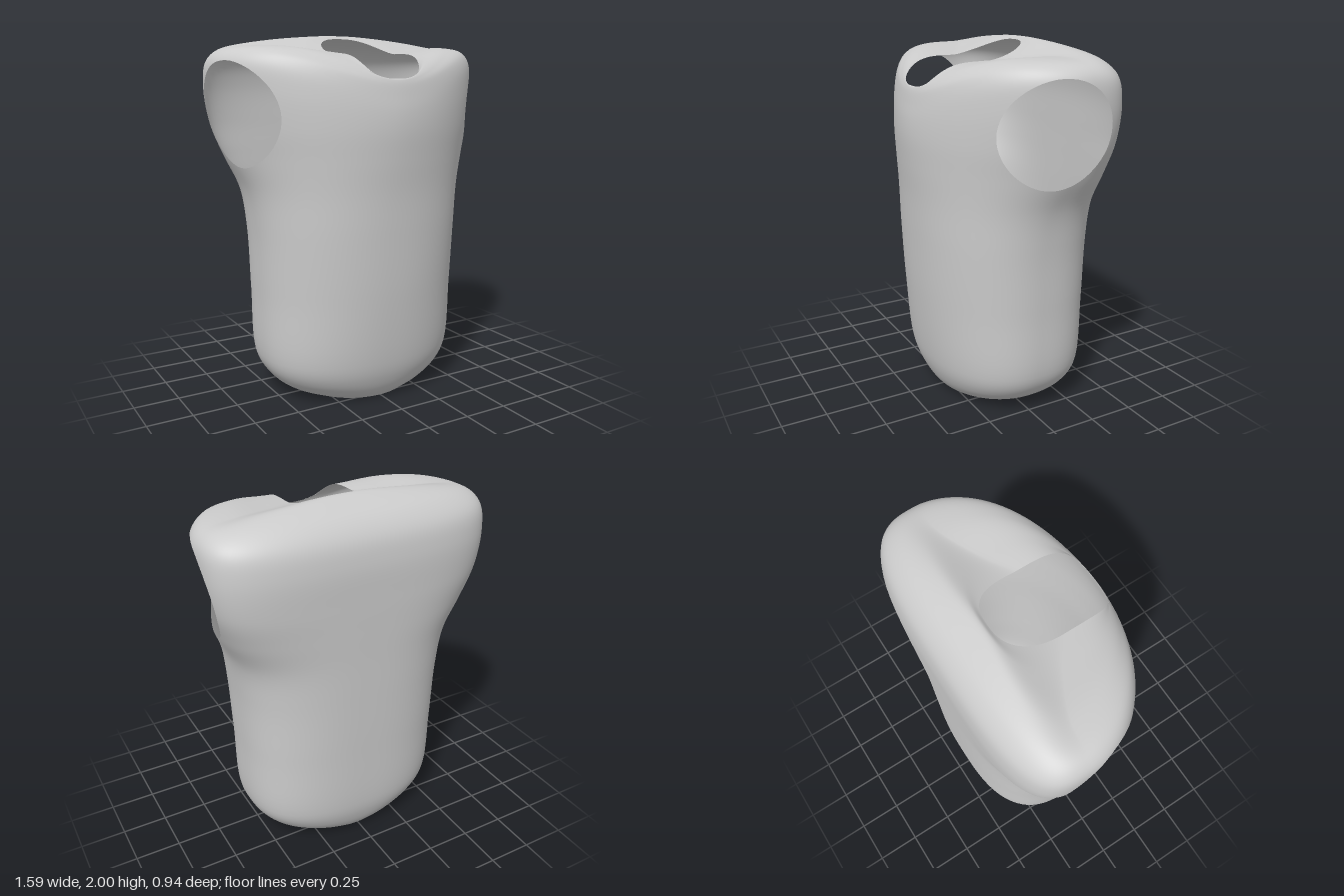
import * as THREE from 'three';

// Control rings from waist to neck:
// [yFront, ySide, yBack, halfWidth, zFront, zBack, zCentre, frontRoundness, backRoundness]
const RINGS = [
  [0, 0, 0, 0.33, 0.28, -0.35, -0.035, 2, 2],
  [0.05, 0.05, 0.05, 0.44, 0.325, -0.39, -0.03, 2.1, 2.2],
  [0.12, 0.12, 0.12, 0.52, 0.36, -0.42, -0.02, 2.2, 2.5],
  [0.22, 0.22, 0.22, 0.57, 0.388, -0.442, -0.02, 2.25, 2.7],
  [0.6, 0.6, 0.6, 0.587, 0.427, -0.455, -0.02, 2.2, 2.75],
  [0.95, 0.95, 0.95, 0.603, 0.444, -0.46, -0.02, 2.2, 2.75],
  [1.17, 1.17, 1.17, 0.635, 0.453, -0.462, -0.04, 2.1, 2.8],
  [1.35, 1.35, 1.35, 0.707, 0.467, -0.465, -0.1, 1.97, 3],
  [1.5, 1.52, 1.52, 0.767, 0.475, -0.467, -0.12, 1.88, 3.4],
  [1.6, 1.72, 1.72, 0.797, 0.47, -0.464, -0.12, 1.83, 3.5],
  [1.68, 1.855, 1.84, 0.785, 0.457, -0.437, -0.12, 1.83, 3.4],
  [1.73, 1.91, 1.925, 0.73, 0.447, -0.37, -0.12, 1.85, 3],
  [1.75, 1.934, 1.983, 0.57, 0.441, -0.26, -0.11, 1.95, 2.7],
  [1.76, 1.912, 1.997, 0.34, 0.436, -0.205, 0, 2.3, 2.5],
  [1.765, 1.893, 1.98, 0.195, 0.43, -0.18, 0.1, 4, 2.6],
];
const COLS = 112, ROWS = 96;

// Point on a control ring: a superellipse with its own front and back halves
function ringPoint([yF, yS, yB, w, zF, zB, c, nF, nB], angle) {
  const cos = Math.cos(angle), sin = Math.sin(angle);
  const front = sin >= 0, n = front ? nF : nB;
  const r = (Math.abs(cos) ** n + Math.abs(sin) ** n) ** (-1 / n);
  const s = Math.abs(sin) * r;
  const y = front ? yS + (yF - yS) * s ** 3.8 : yS + (yB - yS) * s ** 1.5;
  return new THREE.Vector3(w * r * cos, y, c + s * (front ? zF - c : zB - c));
}

// Signed value that is negative inside an armhole
function armhole(p) {
  if (Math.abs(p.x) < 0.4) return 1;
  return Math.hypot((p.z + 0.005) / 0.265, (p.y - 1.58) / 0.276) - 1;
}

// Closed-loop skin lofted through the rings
function loftSkin() {
  const pos = [], index = [];
  for (let j = 0; j < COLS; j++) {
    const angle = (j / COLS) * Math.PI * 2;
    const curve = new THREE.CatmullRomCurve3(RINGS.map((ring) => ringPoint(ring, angle)));
    const next = (j + 1) % COLS;
    for (let i = 0; i <= ROWS; i++) {
      const p = curve.getPoint(i / ROWS);
      pos.push(p.x, p.y, p.z);
      if (i === ROWS) continue;
      const a = j * (ROWS + 1) + i, b = next * (ROWS + 1) + i;
      index.push(a, a + 1, b, b, a + 1, b + 1);
    }
  }
  const geo = new THREE.BufferGeometry();
  geo.setAttribute('position', new THREE.Float32BufferAttribute(pos, 3));
  geo.setIndex(index);
  geo.computeVertexNormals();
  return geo;
}

// Trim every triangle along the armhole edge, keeping the smooth normals
function cutArmholes(geo) {
  const { position, normal } = geo.attributes;
  const verts = [];
  for (let i = 0; i < position.count; i++) {
    const p = new THREE.Vector3().fromBufferAttribute(position, i);
    verts.push({ p, n: new THREE.Vector3().fromBufferAttribute(normal, i), d: armhole(p) });
  }
  const pos = [], nor = [];
  const idx = geo.index.array;
  for (let t = 0; t < idx.length; t += 3) {
    const poly = [];
    for (let k = 0; k < 3; k++) {
      const a = verts[idx[t + k]], b = verts[idx[t + ((k + 1) % 3)]];
      if (a.d >= 0) poly.push(a);
      if ((a.d >= 0) !== (b.d >= 0)) {
        const f = a.d / (a.d - b.d);
        poly.push({ p: a.p.clone().lerp(b.p, f), n: a.n.clone().lerp(b.n, f).normalize() });
      }
    }
    for (let k = 1; k + 1 < poly.length; k++) {
      for (const v of [poly[0], poly[k], poly[k + 1]]) {
        pos.push(v.p.x, v.p.y, v.p.z);
        nor.push(v.n.x, v.n.y, v.n.z);
      }
    }
  }
  const out = new THREE.BufferGeometry();
  out.setAttribute('position', new THREE.Float32BufferAttribute(pos, 3));
  out.setAttribute('normal', new THREE.Float32BufferAttribute(nor, 3));
  return out;
}

export function createModel() {
  const group = new THREE.Group();
  group.name = 'torso';
  // Thin open shell with neck, arm and waist openings
  const material = new THREE.MeshStandardMaterial({ color: 0xcccccc, side: THREE.DoubleSide });
  const shell = new THREE.Mesh(cutArmholes(loftSkin()), material);
  shell.name = 'torsoShell';
  group.add(shell);
  return group;
}
